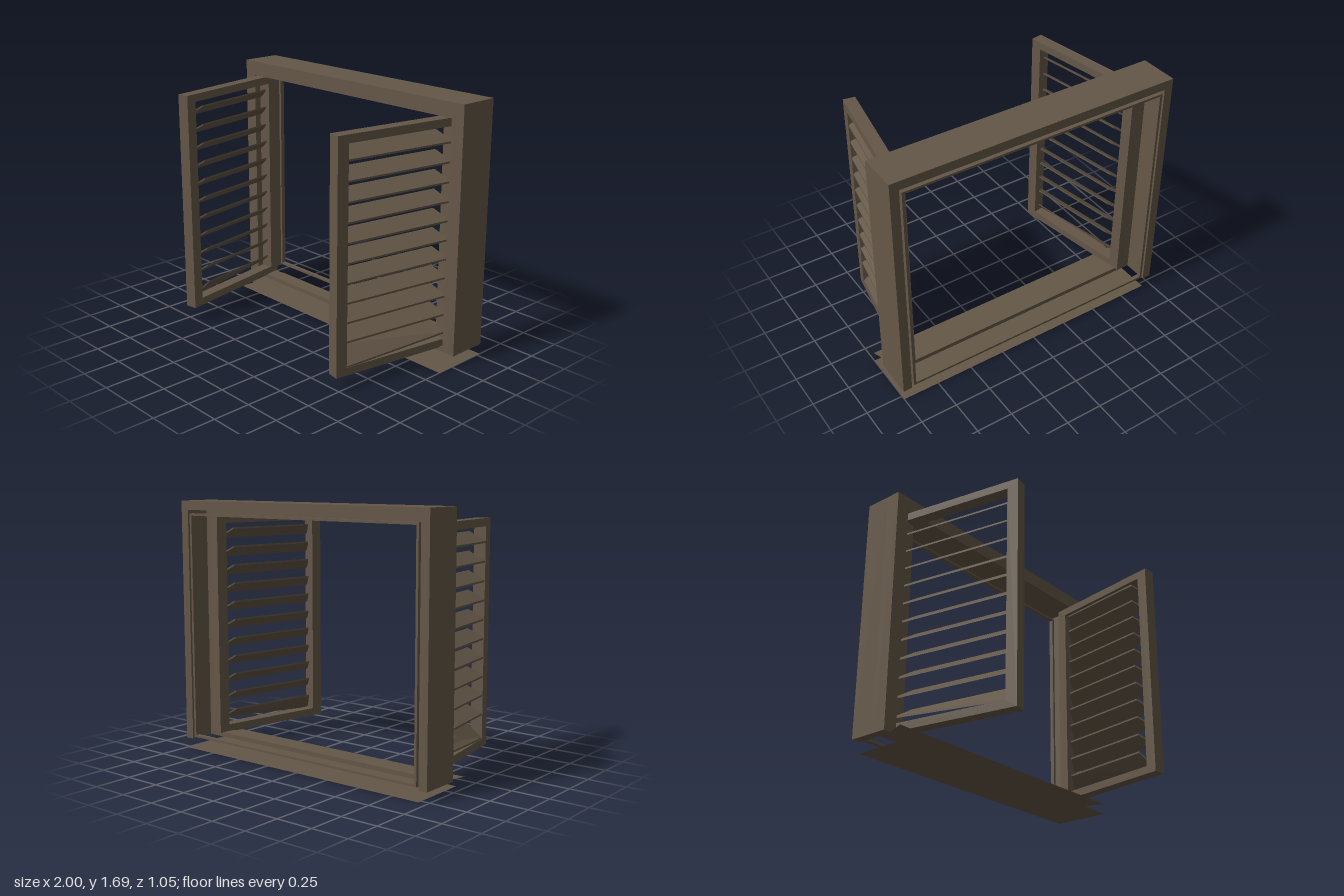
import * as THREE from 'three';

const wood = new THREE.MeshStandardMaterial({ color: 0x645747, side: THREE.DoubleSide, flatShading: true });
wood.name = 'brown wood';

function part(name, geometry, parent) {
  const mesh = new THREE.Mesh(geometry, wood);
  mesh.name = name;
  parent.add(mesh);
  return mesh;
}

function rect(target, x, y0, y1) {
  target.moveTo(-x, y0);
  target.lineTo(x, y0);
  target.lineTo(x, y1);
  target.lineTo(-x, y1);
  target.closePath();
  return target;
}

// Rectangular ring extruded along z; outer and inner are [halfWidth, bottom, top]
function ring(outer, inner, z0, z1) {
  const shape = rect(new THREE.Shape(), ...outer);
  shape.holes.push(rect(new THREE.Path(), ...inner));
  const g = new THREE.ExtrudeGeometry(shape, { depth: z1 - z0, bevelEnabled: false });
  return g.translate(0, 0, z0);
}

// Flat horizontal plate from [x, z] corners
function plate(corners, y) {
  const shape = new THREE.Shape(corners.map(([x, z]) => new THREE.Vector2(x, -z)));
  return new THREE.ShapeGeometry(shape).rotateX(-Math.PI / 2).translate(0, y, 0);
}

// Tilted slat: outer edge low and long, inner edge high and short
function slat(side, sag) {
  const g = new THREE.BoxGeometry(0.09, 0.012, 0.77);
  const p = g.attributes.position;
  for (let i = 0; i < p.count; i++) {
    const out = p.getX(i) * side;
    const z = p.getZ(i);
    const drop = out > 0 && z > 0 ? sag : 0;
    p.setXYZ(i, p.getX(i) - side * 0.008, p.getY(i) - out * 0.72 - drop, out < 0 ? z * 0.845 : z);
  }
  g.computeVertexNormals();
  return g;
}

function shutter(side) {
  const group = new THREE.Group();
  group.name = side > 0 ? 'leftShutter' : 'rightShutter';
  // Border of stiles and rails
  const border = ring([0.45, 0.095, 1.59], [0.375, 0.147, 1.538], -0.04, 0.04).rotateY(Math.PI / 2);
  part('shutterFrame', border, group);
  // Louvres, the lowest one sagging
  for (let i = 0; i < 11; i++) {
    part('louvre', slat(side, i === 10 ? 0.04 : 0), group).position.y = 1.47 - 0.125 * i;
  }
  group.position.set(side * 0.787, 0, 0.072);
  group.rotation.y = -side * 0.172;
  return group;
}

export function createModel() {
  const model = new THREE.Group();
  model.name = 'shutteredWindow';

  // Window surround: wide front ring, narrower hollow back
  part('frontFrame', ring([1, 0.07, 1.69], [0.908, 0.1, 1.592], -0.36, -0.26), model);
  const back = new THREE.Shape([
    [-1, 0.07], [-0.94, 0.07], [-0.94, 1.63], [0.94, 1.63],
    [0.94, 0.07], [1, 0.07], [1, 1.69], [-1, 1.69],
  ].map(([x, y]) => new THREE.Vector2(x, y)));
  const backGeometry = new THREE.ExtrudeGeometry(back, { depth: 0.17, bevelEnabled: false });
  part('backFrame', backGeometry.translate(0, 0, -0.53), model);
  part('innerBead', ring([0.925, 0.085, 1.607], [0.908, 0.1, 1.592], -0.53, -0.5), model);

  // Sill: mitred upper plate over a lower plate
  part('upperSill', plate([[-1, -0.13], [1, -0.13], [0.95, -0.26], [-0.95, -0.26]], 0.07), model);
  part('lowerSill', plate([[-0.94, -0.13], [1, -0.13], [1, -0.53], [-0.94, -0.53]], 0), model);

  for (const side of [-1, 1]) model.add(shutter(side));
  return model;
}
